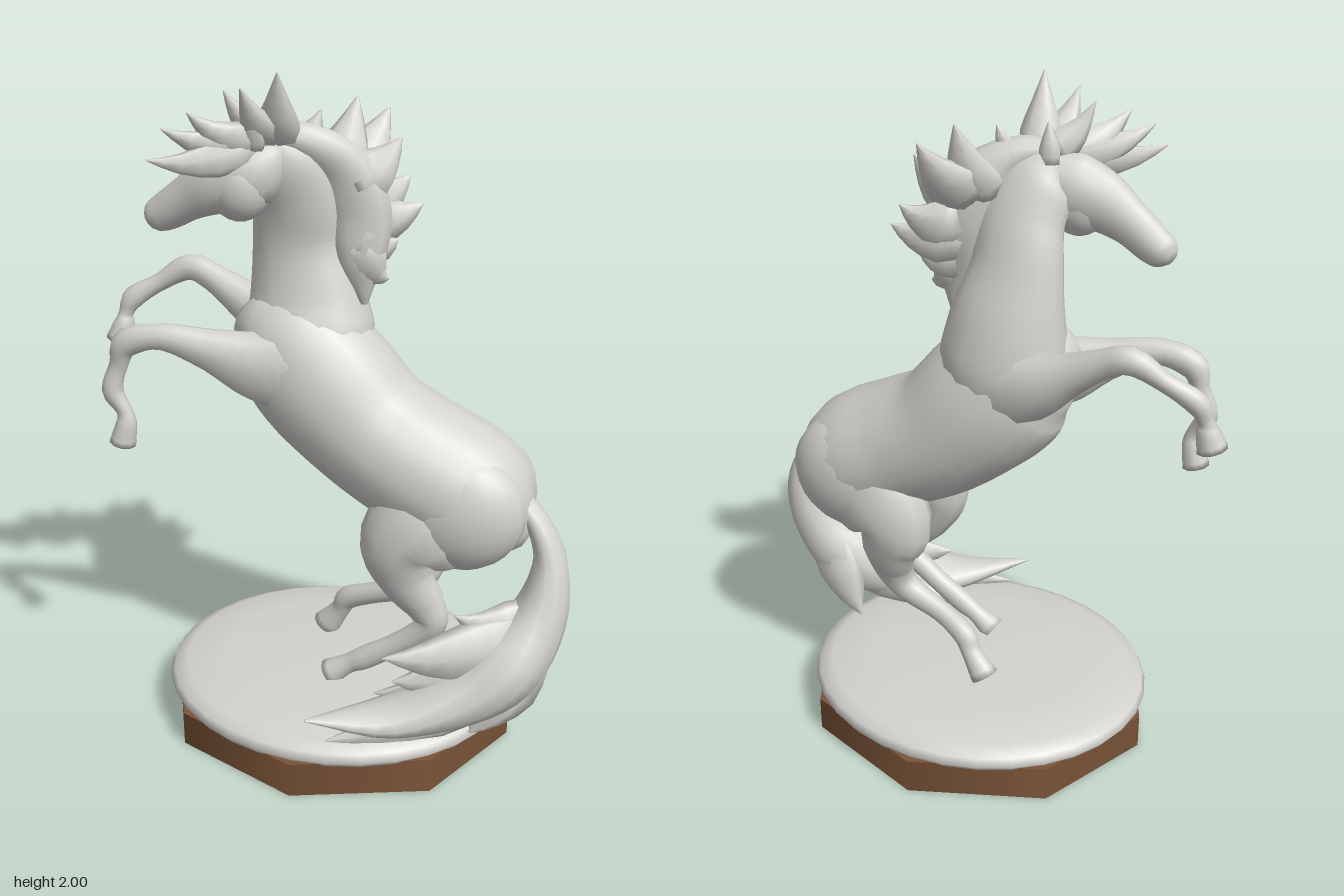
import * as THREE from 'three';

const grey = new THREE.MeshStandardMaterial({ color: 0xd4d2ce });
grey.name = 'stone grey';
const brown = new THREE.MeshStandardMaterial({ color: 0x7a5438 });
brown.name = 'wood brown';

// Smooth tapered tube through sections [x, y, z, radius in the xy plane, sideways radius]
function loft(sections, sides = 14, steps = 4) {
  const path = new THREE.CatmullRomCurve3(sections.map(s => new THREE.Vector3(s[0], s[1], s[2])), false, 'catmullrom', 0.5);
  const radii = new THREE.CatmullRomCurve3(sections.map(s => new THREE.Vector3(s[3], s[4], 0)), false, 'catmullrom', 0.5);
  const n = (sections.length - 1) * steps;
  const pos = [], idx = [];
  for (let i = 0; i <= n; i++) {
    const c = path.getPoint(i / n), r = radii.getPoint(i / n), t = path.getTangent(i / n);
    const w = new THREE.Vector3(0, 0, 1).addScaledVector(t, -t.z).normalize();
    const u = new THREE.Vector3().crossVectors(w, t);
    for (let j = 0; j < sides; j++) {
      const a = j / sides * Math.PI * 2;
      const p = c.clone()
        .addScaledVector(u, Math.cos(a) * Math.max(r.x, 0.002))
        .addScaledVector(w, Math.sin(a) * Math.max(r.y, 0.002));
      pos.push(p.x, p.y, p.z);
    }
  }
  for (let i = 0; i < n; i++) for (let j = 0; j < sides; j++) {
    const k = (j + 1) % sides, a = i * sides + j, b = i * sides + k;
    idx.push(a, b, a + sides, b, b + sides, a + sides);
  }
  // end caps
  const first = pos.length / 3, last = first + 1;
  pos.push(...path.getPoint(0).toArray(), ...path.getPoint(1).toArray());
  for (let j = 0; j < sides; j++) {
    const k = (j + 1) % sides;
    idx.push(first, k, j, last, n * sides + j, n * sides + k);
  }
  const g = new THREE.BufferGeometry();
  g.setAttribute('position', new THREE.Float32BufferAttribute(pos, 3));
  g.setIndex(idx);
  g.computeVertexNormals();
  return g;
}

// Pointed lock of hair, curving a little upward
function lock(a, b, w, lift = 0.02) {
  const at = (t, h) => a.map((v, i) => v + (b[i] - v) * t + (i === 1 ? h : 0));
  return loft([
    [...a, w * 0.9, w * 0.6], [...at(0.35, -lift), w, w * 0.6],
    [...at(0.7, -lift), w * 0.55, w * 0.35], [...b, 0.002, 0.002],
  ], 7, 2);
}

export function createModel() {
  const model = new THREE.Group();
  const add = (name, geometry, material = grey, parent = model) => {
    const m = new THREE.Mesh(geometry, material);
    m.name = name;
    parent.add(m);
    return m;
  };
  const ellipsoid = (name, centre, size) => {
    const m = add(name, new THREE.SphereGeometry(1, 20, 14));
    m.position.set(...centre);
    m.scale.set(...size);
  };

  // Plinth: eight-sided wood base under a rounded ground disc
  const base = add('plinth', new THREE.CylinderGeometry(1, 1, 0.108, 8), brown);
  base.scale.set(0.54, 1, 0.487);
  base.position.set(0.03, 0.054, 0);
  const ground = add('ground', new THREE.LatheGeometry([
    [0, 0.1], [0.97, 0.1], [1, 0.12], [0.98, 0.145], [0.9, 0.165], [0.65, 0.183], [0, 0.192],
  ].map(p => new THREE.Vector2(...p)), 32));
  ground.scale.set(0.53, 1, 0.473);
  ground.position.set(0.03, 0, 0);

  // Trunk, neck and head
  add('body', loft([
    [-0.27, 1.26, 0, 0.04, 0.04], [-0.2, 1.24, 0, 0.14, 0.12], [-0.11, 1.19, -0.005, 0.195, 0.165],
    [-0.01, 1.09, -0.01, 0.212, 0.188], [0.125, 0.965, -0.01, 0.197, 0.192], [0.27, 0.885, 0, 0.197, 0.2],
    [0.42, 0.81, 0, 0.195, 0.2], [0.53, 0.74, 0.01, 0.14, 0.155], [0.6, 0.70, 0.01, 0.04, 0.05],
  ], 20));
  add('neck', loft([
    [0, 1.05, -0.01, 0.14, 0.13], [-0.06, 1.22, -0.03, 0.185, 0.155], [-0.08, 1.36, -0.04, 0.168, 0.125],
    [-0.1, 1.5, -0.03, 0.135, 0.09], [-0.1, 1.63, 0, 0.122, 0.078], [-0.13, 1.74, 0.04, 0.105, 0.07],
    [-0.17, 1.81, 0.06, 0.04, 0.04],
  ], 16));
  add('head', loft([
    [-0.11, 1.77, 0.05, 0.05, 0.05], [-0.19, 1.72, 0.08, 0.1, 0.075], [-0.28, 1.685, 0.1, 0.088, 0.07],
    [-0.37, 1.635, 0.1, 0.064, 0.05], [-0.44, 1.59, 0.09, 0.055, 0.046], [-0.48, 1.57, 0.085, 0.045, 0.04],
    [-0.5, 1.56, 0.08, 0.02, 0.02],
  ], 14));
  ellipsoid('cheek', [-0.225, 1.68, 0.095], [0.09, 0.1, 0.075]);
  for (const s of [-1, 1])
    add('ear', lock([-0.17, 1.79, 0.07 + s * 0.05], [-0.16, 1.9, 0.09 + s * 0.06], 0.03, 0));

  // Forelegs, raised and bent at the knee
  add('leftForeleg', loft([
    [0.04, 1.14, 0.06, 0.06, 0.05], [-0.06, 1.15, 0.075, 0.13, 0.085], [-0.18, 1.165, 0.105, 0.11, 0.075],
    [-0.31, 1.21, 0.14, 0.064, 0.052], [-0.44, 1.245, 0.17, 0.04, 0.037], [-0.545, 1.22, 0.18, 0.042, 0.036],
    [-0.575, 1.15, 0.18, 0.028, 0.026], [-0.597, 1.07, 0.185, 0.032, 0.03], [-0.565, 1.01, 0.185, 0.023, 0.022],
    [-0.56, 0.97, 0.185, 0.031, 0.03], [-0.575, 0.905, 0.185, 0.04, 0.04],
  ], 10));
  add('rightForeleg', loft([
    [0.04, 1.17, -0.07, 0.06, 0.05], [-0.06, 1.18, -0.09, 0.13, 0.085], [-0.18, 1.21, -0.115, 0.105, 0.075],
    [-0.3, 1.27, -0.125, 0.062, 0.056], [-0.4, 1.325, -0.135, 0.043, 0.04], [-0.48, 1.35, -0.14, 0.04, 0.036],
    [-0.57, 1.3, -0.125, 0.027, 0.026], [-0.65, 1.25, -0.105, 0.033, 0.03], [-0.675, 1.2, -0.095, 0.023, 0.023],
    [-0.68, 1.17, -0.09, 0.032, 0.032], [-0.695, 1.115, -0.085, 0.044, 0.042],
  ], 10));

  // Haunches and hind legs, standing
  for (const s of [-1, 1])
    ellipsoid('haunch', [0.41, 0.79, s * 0.085], [0.195, 0.185, 0.12]);
  const thigh = s => [
    [0.45, 0.84, s * 0.06, 0.08, 0.05], [0.34, 0.76, s * 0.1, 0.165, 0.1],
    [0.255, 0.67, s * 0.125, 0.128, 0.088], [0.27, 0.57, s * 0.125, 0.088, 0.064],
  ];
  add('leftHindLeg', loft([...thigh(1),
    [0.33, 0.48, 0.12, 0.062, 0.047], [0.35, 0.42, 0.12, 0.044, 0.04], [0.26, 0.34, 0.12, 0.034, 0.032],
    [0.15, 0.265, 0.12, 0.036, 0.032], [0.1, 0.235, 0.12, 0.03, 0.03], [0.04, 0.19, 0.12, 0.042, 0.042],
  ], 12));
  add('rightHindLeg', loft([...thigh(-1),
    [0.27, 0.48, -0.1, 0.062, 0.047], [0.23, 0.415, -0.085, 0.045, 0.04], [0.12, 0.365, -0.09, 0.034, 0.03],
    [0.03, 0.32, -0.11, 0.037, 0.032], [0, 0.27, -0.12, 0.031, 0.03], [-0.05, 0.2, -0.13, 0.045, 0.04],
  ], 12));

  // Mane: a crest with windblown locks
  const mane = new THREE.Group();
  mane.name = 'mane';
  model.add(mane);
  add('crest', loft([
    [-0.16, 1.82, 0.07, 0.03, 0.04], [-0.06, 1.8, 0.03, 0.05, 0.05], [0.03, 1.72, -0.02, 0.08, 0.05],
    [0.08, 1.6, -0.03, 0.09, 0.048], [0.085, 1.47, -0.01, 0.07, 0.035], [0.1, 1.34, -0.01, 0.01, 0.01],
  ], 10), grey, mane);
  const locks = [
    [[-0.12, 1.81, 0.06], [-0.09, 2.0, 0.16], 0.06], [[-0.14, 1.81, 0.07], [-0.18, 1.96, 0.19], 0.055],
    [[-0.16, 1.82, 0.07], [-0.25, 1.94, 0.13], 0.045], [[-0.18, 1.8, 0.1], [-0.31, 1.9, 0.24], 0.055],
    [[-0.18, 1.8, 0.1], [-0.37, 1.86, 0.27], 0.05], [[-0.18, 1.79, 0.1], [-0.39, 1.79, 0.325], 0.05],
    [[-0.08, 1.79, 0.04], [-0.02, 1.88, 0.01], 0.05],
    [[0.01, 1.7, -0.02], [0.05, 1.9, -0.1], 0.08], [[0.04, 1.7, -0.04], [0.12, 1.86, -0.175], 0.08],
    [[0.06, 1.68, -0.02], [0.18, 1.8, -0.08], 0.08], [[0.07, 1.62, -0.04], [0.19, 1.68, -0.15], 0.075],
    [[0.07, 1.58, -0.03], [0.235, 1.61, -0.12], 0.075], [[0.08, 1.53, -0.01], [0.18, 1.52, -0.06], 0.07],
    [[0.08, 1.51, -0.01], [0.17, 1.42, -0.01], 0.06],
  ];
  for (const [a, b, w] of locks) add('maneLock', lock(a, b, w), grey, mane);

  // Tail: sweeping down and round to the left side, ending in loose locks
  const tail = new THREE.Group();
  tail.name = 'tail';
  model.add(tail);
  add('tailSweep', loft([
    [0.56, 0.83, 0.02, 0.03, 0.035], [0.635, 0.75, 0.04, 0.035, 0.045], [0.675, 0.63, 0.05, 0.052, 0.07],
    [0.655, 0.48, 0.09, 0.085, 0.1], [0.575, 0.35, 0.15, 0.115, 0.135], [0.45, 0.265, 0.23, 0.09, 0.12],
    [0.28, 0.22, 0.33, 0.05, 0.085], [0.07, 0.25, 0.46, 0.003, 0.004],
  ], 12), grey, tail);
  for (const [a, b, w] of [
    [[0.61, 0.42, 0.13], [0.27, 0.44, 0.37], 0.1], [[0.63, 0.47, 0.1], [0.44, 0.52, 0.22], 0.075],
    [[0.56, 0.29, 0.2], [0.12, 0.17, 0.43], 0.08], [[0.58, 0.37, 0.16], [0.28, 0.32, 0.3], 0.1],
    [[0.62, 0.42, 0.08], [0.47, 0.18, 0.02], 0.09], [[0.62, 0.38, 0.13], [0.5, 0.15, 0.24], 0.1],
    [[0.58, 0.3, 0.13], [0.2, 0.2, 0.2], 0.08],
  ]) add('tailLock', lock(a, b, w), grey, tail);

  return model;
}
